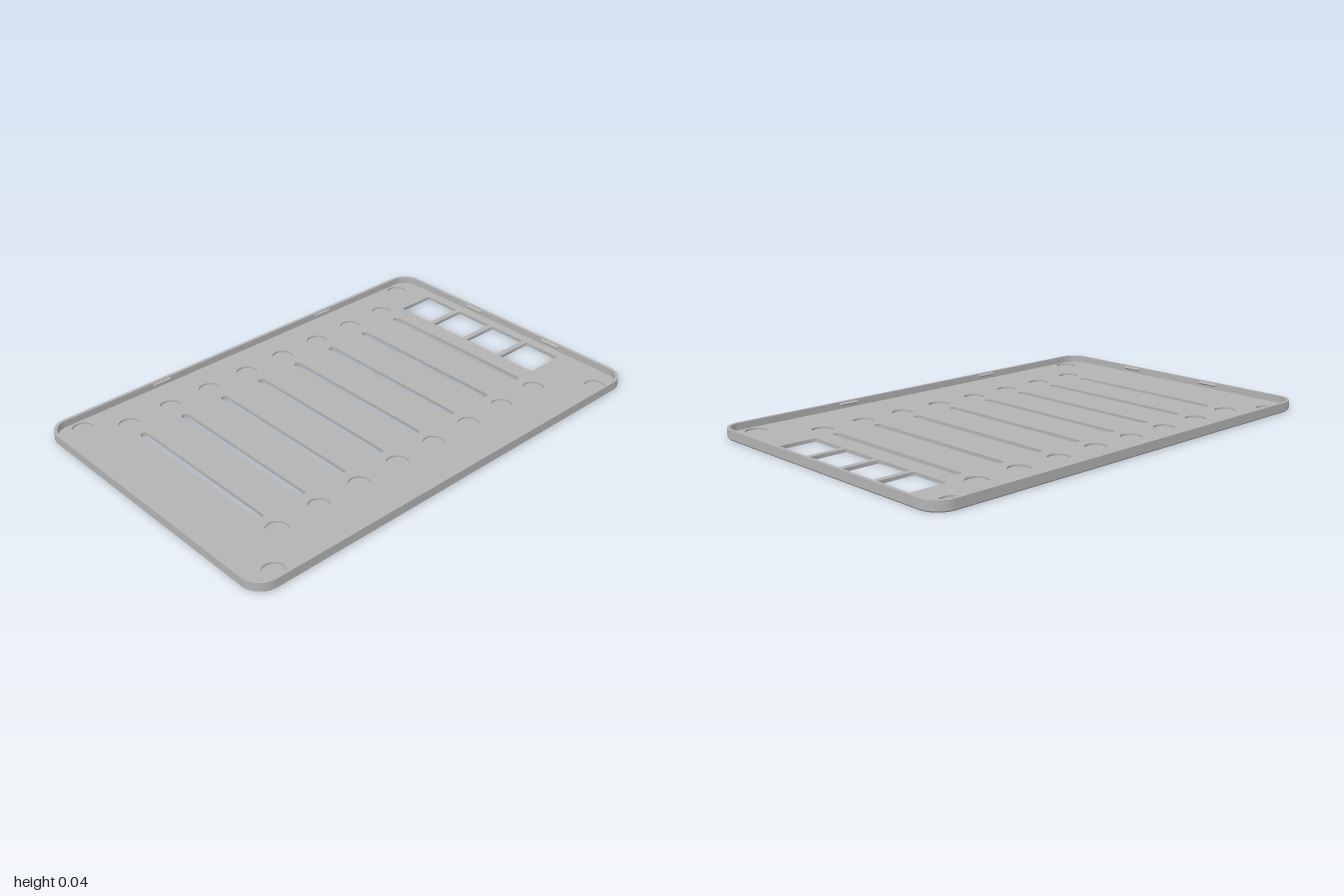
import * as THREE from 'three';
import { toCreasedNormals } from 'three/addons/utils/BufferGeometryUtils.js';

const HALF_X = 1, HALF_Z = 0.655, CORNER = 0.085, WALL = 0.013;
const BASE_Y = 0.006, FLOOR_Y = 0.014, TOP_Y = 0.043, CHAMFER = 0.005;

// Rounded rectangle in plan, centred on (x, z); shape y is -z
function roundRect(target, x, z, hx, hz, r) {
  const y = -z;
  target.moveTo(x + hx, y - hz + r);
  target.lineTo(x + hx, y + hz - r);
  target.absarc(x + hx - r, y + hz - r, r, 0, Math.PI / 2);
  target.lineTo(x - hx + r, y + hz);
  target.absarc(x - hx + r, y + hz - r, r, Math.PI / 2, Math.PI);
  target.lineTo(x - hx, y - hz + r);
  target.absarc(x - hx + r, y - hz + r, r, Math.PI, Math.PI * 1.5);
  target.lineTo(x + hx - r, y - hz);
  target.absarc(x + hx - r, y - hz + r, r, Math.PI * 1.5, Math.PI * 2);
  return target;
}

// Horizontal slab between two heights
function slab(shape, y0, y1) {
  const g = new THREE.ExtrudeGeometry(shape, { depth: y1 - y0, bevelEnabled: false, curveSegments: 12 });
  return g.rotateX(-Math.PI / 2).translate(0, y0, 0);
}

const slotX = Array.from({ length: 8 }, (_, i) => -0.722 + i * 0.1997);

// Openings that pass right through the floor
function throughHoles() {
  const holes = slotX.map(x => roundRect(new THREE.Path(), x, -0.031, 0.016, 0.369, 0.0155));
  for (let i = 0; i < 4; i++) {
    holes.push(roundRect(new THREE.Path(), 0.858, -0.353 + i * 0.2, 0.088, 0.088, 0.003));
  }
  return holes;
}

// Shallow round recesses for magnets: beyond the slot ends and in the corners
function recesses() {
  const spots = [];
  for (const x of slotX) spots.push([x, 0.422], [x, -0.488]);
  for (const x of [-0.875, 0.875]) for (const z of [-0.588, 0.588]) spots.push([x, z]);
  return spots.map(([x, z]) => new THREE.Path().absarc(x, -z, 0.044, 0, Math.PI * 2));
}

export function createModel() {
  const model = new THREE.Group();
  model.name = 'slottedTray';
  const grey = new THREE.MeshStandardMaterial({ color: 0xb3b3b3 });
  grey.name = 'grey';

  const add = (name, geometry) => {
    const mesh = new THREE.Mesh(toCreasedNormals(geometry, 0.5), grey);
    mesh.name = name;
    model.add(mesh);
    return mesh;
  };

  // Bottom sheet with a chamfered lower edge
  const baseShape = roundRect(new THREE.Shape(), 0, 0, HALF_X, HALF_Z, CORNER);
  baseShape.holes.push(...throughHoles());
  const base = slab(baseShape, 0, BASE_Y);
  const p = base.attributes.position;
  for (let i = 0; i < p.count; i++) {
    const x = p.getX(i), z = p.getZ(i);
    if (p.getY(i) < 0.001 && (Math.abs(x) > 0.95 || Math.abs(z) > 0.5)) {
      p.setX(i, x * (1 - CHAMFER / HALF_X));
      p.setZ(i, z * (1 - CHAMFER / HALF_Z));
    }
  }
  add('bottomSheet', base);

  // Upper floor layer, pierced by slots, windows and recesses
  const floorShape = roundRect(new THREE.Shape(), 0, 0, HALF_X - WALL, HALF_Z - WALL, CORNER - WALL);
  floorShape.holes.push(...throughHoles(), ...recesses());
  add('floor', slab(floorShape, BASE_Y, FLOOR_Y));

  // Rim wall
  const wallShape = roundRect(new THREE.Shape(), 0, 0, HALF_X, HALF_Z, CORNER);
  wallShape.holes.push(roundRect(new THREE.Path(), 0, 0, HALF_X - WALL, HALF_Z - WALL, CORNER - WALL));
  add('rimWall', slab(wallShape, BASE_Y, TOP_Y));

  // Small snap ridges on the inner faces of the wall
  const ridge = (x, z, alongX) => {
    const g = new THREE.CylinderGeometry(0.007, 0.007, 0.088, 4);
    if (alongX) g.rotateZ(Math.PI / 2);
    else g.rotateX(Math.PI / 2);
    add('snapRidge', g.translate(x, 0.032, z));
  };
  const inX = HALF_X - WALL, inZ = HALF_Z - WALL;
  for (const x of [-0.453, 0.445]) ridge(x, -inZ, true);
  for (const x of [-0.395, 0.388]) ridge(x, inZ, true);
  for (const x of [-inX, inX]) for (const z of [-0.19, 0.257]) ridge(x, z, false);

  return model;
}
